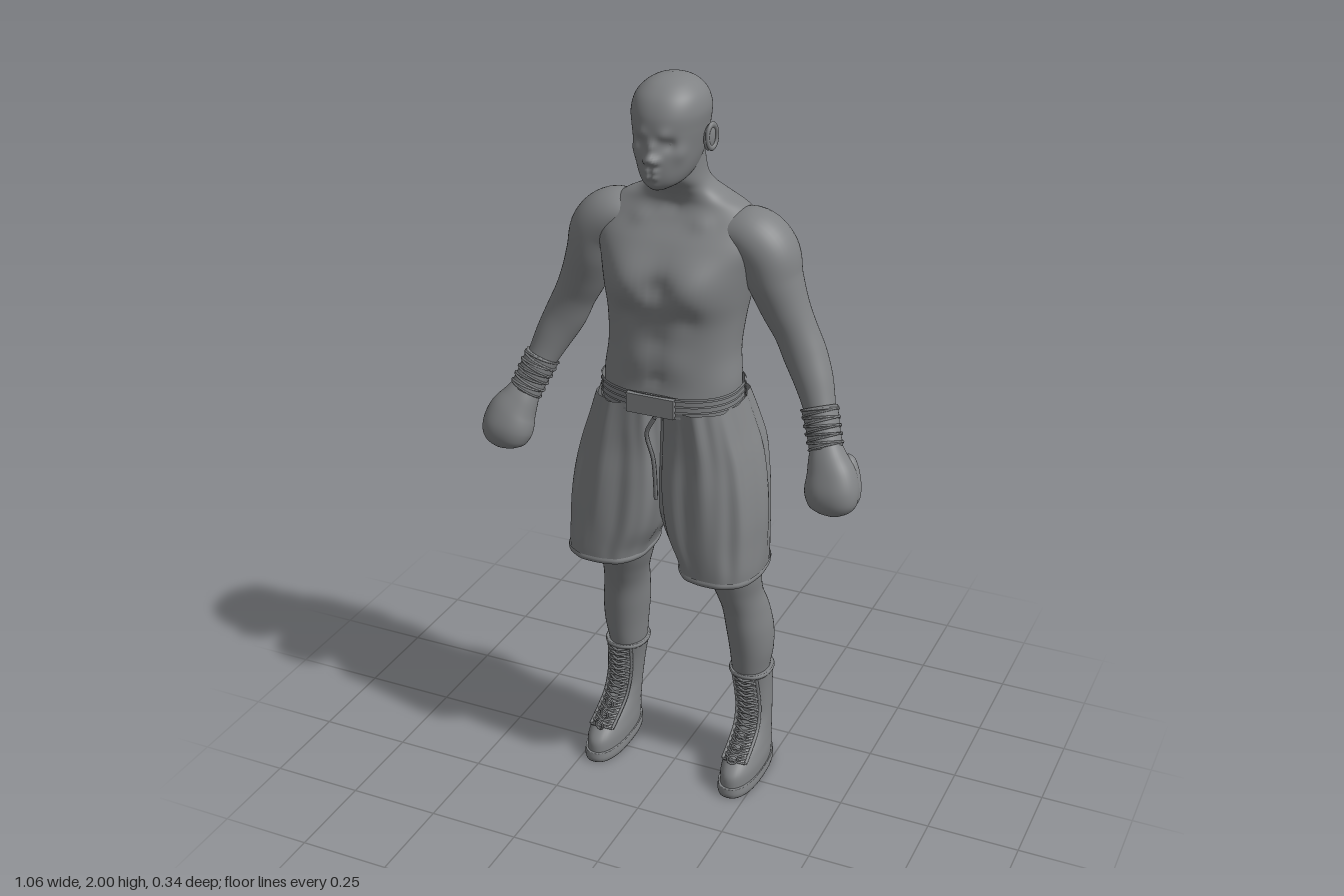
import * as THREE from 'three';

const V = (x, y, z) => new THREE.Vector3(x, y, z);

// Smooth interpolation of section rows
function sample(rows, t) {
  const n = rows.length - 1, i = Math.min(Math.floor(t * n), n - 1), u = t * n - i;
  const r = k => rows[Math.max(0, Math.min(n, k))];
  const [a, b, c, d] = [r(i - 1), r(i), r(i + 1), r(i + 2)];
  return b.map((_, k) => b[k] + 0.5 * u * (c[k] - a[k] + u * (2 * a[k] - 5 * b[k] + 4 * c[k] - d[k]
    + u * (3 * (b[k] - c[k]) + d[k] - a[k]))));
}

// Loft through sections [x, y, z, half width, front depth, back depth].
// Level sections run upwards; with "along" they follow the path direction.
function loft(rows, { steps = 6, sides = 40, power = 2, along = false, caps = true, shape } = {}) {
  const N = (rows.length - 1) * steps, pos = [], idx = [];
  for (let i = 0; i <= N; i++) {
    const t = i / N, [x, y, z, w, f, b] = sample(rows, t);
    let A = V(1, 0, 0), B = V(0, 0, 1);
    if (along) {
      const p = sample(rows, Math.max(0, t - 0.01)), q = sample(rows, Math.min(1, t + 0.01));
      const T = V(q[0] - p[0], q[1] - p[1], q[2] - p[2]).normalize();
      A = T.clone().cross(B).normalize();
      B = A.clone().cross(T);
    }
    for (let j = 0; j < sides; j++) {
      const a = j / sides * Math.PI * 2, c = Math.cos(a), s = Math.sin(a);
      const u = Math.sign(c) * Math.abs(c) ** (2 / power) * w;
      const v = Math.sign(s) * Math.abs(s) ** (2 / power) * (s > 0 ? f : b);
      const p = V(x, y, z).addScaledVector(A, u).addScaledVector(B, v);
      if (shape) shape(p, a, t, V(x, y, z));
      pos.push(p.x, p.y, p.z);
      if (i < N) {
        const k = i * sides + j, m = i * sides + (j + 1) % sides;
        idx.push(k, k + sides, m, m, k + sides, m + sides);
      }
    }
  }
  if (caps) {
    const lo = pos.length / 3;
    pos.push(...rows[0].slice(0, 3), ...rows.at(-1).slice(0, 3));
    for (let j = 0; j < sides; j++) {
      const m = (j + 1) % sides;
      idx.push(lo, j, m, lo + 1, N * sides + m, N * sides + j);
    }
  }
  const g = new THREE.BufferGeometry();
  g.setAttribute('position', new THREE.Float32BufferAttribute(pos, 3));
  g.setIndex(idx);
  g.computeVertexNormals();
  return g;
}

// Soft bumps [x, y, z, radius, dx, dy, dz], mirrored left to right
const sculpt = bumps => p => {
  const side = p.x < 0 ? -1 : 1, q = V(Math.abs(p.x), p.y, p.z);
  for (const [x, y, z, r, dx, dy, dz] of bumps) {
    const k = Math.exp(-q.distanceToSquared(V(x, y, z)) / (r * r));
    p.add(V(side * dx * k, dy * k, dz * k));
  }
};

function mirrored(g) {
  const m = g.clone().scale(-1, 1, 1), a = m.index.array;
  for (let i = 0; i < a.length; i += 3) [a[i], a[i + 1]] = [a[i + 1], a[i]];
  return m;
}

const tube = (pts, r, n = 8) => new THREE.TubeGeometry(new THREE.CatmullRomCurve3(pts), n, r, 5);
const ball = (x, y, z, a, b, c) => new THREE.SphereGeometry(1, 24, 16).scale(a, b, c).translate(x, y, z);

export function createModel() {
  const model = new THREE.Group();
  const grey = new THREE.MeshStandardMaterial({ color: 0x808284, side: THREE.DoubleSide });
  grey.name = 'grey';
  const add = (name, g) => {
    const m = new THREE.Mesh(g, grey);
    m.name = name;
    model.add(m);
  };
  const pair = (name, g) => { add(name + 'Left', g); add(name + 'Right', mirrored(g)); };

  // Torso and neck, with chest, shoulder blades and spine groove
  add('torso', loft([
    [0, 1.15, 0.01, 0.178, 0.13, 0.125], [0, 1.22, 0.01, 0.182, 0.115, 0.12],
    [0, 1.30, 0, 0.174, 0.117, 0.125], [0, 1.38, -0.01, 0.18, 0.122, 0.137],
    [0, 1.45, -0.02, 0.192, 0.138, 0.138], [0, 1.52, -0.025, 0.205, 0.128, 0.135],
    [0, 1.58, -0.035, 0.22, 0.105, 0.122], [0, 1.63, -0.05, 0.208, 0.08, 0.1],
    [0, 1.665, -0.06, 0.165, 0.072, 0.08], [0, 1.69, -0.06, 0.115, 0.075, 0.07],
    [0, 1.715, -0.05, 0.083, 0.08, 0.06], [0, 1.75, -0.03, 0.069, 0.085, 0.06],
    [0, 1.82, -0.01, 0.065, 0.07, 0.07],
  ], {
    sides: 72, power: 2.3, shape: sculpt([
      [0.085, 1.49, 0.1, 0.065, 0, 0, 0.022], [0.08, 1.405, 0.11, 0.03, 0, 0, -0.007],
      [0, 1.48, 0.12, 0.03, 0, 0, -0.012], [0, 1.34, 0.12, 0.025, 0, 0, -0.005],
      [0, 1.24, 0.125, 0.012, 0, 0, -0.008], [0.045, 1.28, 0.11, 0.045, 0, 0, 0.007],
      [0.1, 1.53, -0.15, 0.065, 0, 0, -0.012], [0, 1.55, -0.16, 0.035, 0, 0, 0.015],
      [0, 1.46, -0.16, 0.035, 0, 0, 0.013], [0, 1.36, -0.14, 0.035, 0, 0, 0.012],
      [0, 1.27, -0.125, 0.03, 0, 0, 0.008], [0.08, 1.63, 0.02, 0.025, 0, 0, 0.008],
      [0, 1.665, 0.02, 0.018, 0, 0, -0.008],
    ]),
  }));

  // Head and face
  add('head', loft([
    [0, 1.738, 0.085, 0.022, 0.032, 0.04], [0, 1.75, 0.06, 0.046, 0.068, 0.06],
    [0, 1.77, 0.04, 0.061, 0.097, 0.09], [0, 1.80, 0.03, 0.072, 0.109, 0.112],
    [0, 1.84, 0.02, 0.081, 0.117, 0.116], [0, 1.88, 0.02, 0.088, 0.116, 0.12],
    [0, 1.92, 0.02, 0.092, 0.111, 0.12], [0, 1.955, 0.02, 0.083, 0.094, 0.104],
    [0, 1.98, 0.018, 0.061, 0.068, 0.076], [0, 1.994, 0.016, 0.034, 0.038, 0.042],
    [0, 2.0, 0.014, 0.003, 0.003, 0.003],
  ], {
    sides: 96, steps: 8, power: 2.15, shape: sculpt([
      [0, 1.823, 0.142, 0.015, 0, 0, 0.024], [0, 1.85, 0.138, 0.014, 0, 0, 0.011],
      [0.015, 1.816, 0.138, 0.009, 0, 0, 0.011], [0.034, 1.856, 0.12, 0.018, 0, 0, -0.013],
      [0.03, 1.878, 0.13, 0.016, 0, 0, 0.006], [0.01, 1.792, 0.138, 0.009, 0, 0, 0.009],
      [0.008, 1.776, 0.138, 0.009, 0, 0, 0.009], [0.012, 1.784, 0.145, 0.005, 0, 0, -0.006],
      [0, 1.753, 0.125, 0.016, 0, 0, 0.007], [0.055, 1.83, 0.1, 0.022, 0.004, 0, 0.004],
    ]),
  }));
  pair('eye', ball(0.034, 1.856, 0.106, 0.014, 0.008, 0.011));
  pair('upperEyelid', tube([V(0.019, 1.855, 0.117), V(0.034, 1.864, 0.117), V(0.05, 1.855, 0.106)], 0.003));
  pair('ear', ball(0, 0, 0, 0.01, 0.033, 0.019).rotateX(-0.15).rotateY(-0.3).translate(0.094, 1.85, 0.008));
  pair('earRim', new THREE.TorusGeometry(0.018, 0.005, 8, 24).scale(1, 1.6, 1)
    .rotateY(Math.PI / 2 - 0.3).translate(0.1, 1.852, 0.006));

  // Arms
  pair('arm', loft([
    [0.13, 1.60, -0.05, 0.055, 0.07, 0.07], [0.185, 1.593, -0.052, 0.074, 0.083, 0.085],
    [0.228, 1.555, -0.052, 0.078, 0.085, 0.085], [0.25, 1.49, -0.05, 0.07, 0.078, 0.075],
    [0.278, 1.42, -0.05, 0.062, 0.063, 0.063], [0.307, 1.36, -0.052, 0.056, 0.055, 0.056],
    [0.335, 1.30, -0.05, 0.056, 0.054, 0.054], [0.365, 1.24, -0.036, 0.05, 0.05, 0.048],
    [0.395, 1.17, -0.01, 0.04, 0.04, 0.04], [0.425, 1.10, 0.02, 0.036, 0.036, 0.036],
  ], { along: true }));

  // Wrist wraps with crossing bindings
  const w0 = V(0.39, 1.182, -0.014), w1 = V(0.425, 1.09, 0.024);
  pair('wristWrap', loft([
    [...w0.toArray(), 0.047, 0.047, 0.047], [...w0.clone().lerp(w1, 0.5).toArray(), 0.043, 0.043, 0.043],
    [...w1.toArray(), 0.043, 0.043, 0.043],
  ], { along: true }));
  const axis = w1.clone().sub(w0).normalize();
  const across = axis.clone().cross(V(0, 0, 1)).normalize(), deep = across.clone().cross(axis);
  for (const turn of [1, -1]) {
    const pts = [];
    for (let i = 0; i <= 80; i++) {
      const a = turn * i / 80 * Math.PI * 10, r = 0.047 - 0.003 * i / 80;
      pts.push(w0.clone().lerp(w1, i / 80).addScaledVector(across, r * Math.cos(a)).addScaledVector(deep, r * Math.sin(a)));
    }
    pair(turn > 0 ? 'wrapBinding' : 'wrapCrossBinding', tube(pts, 0.003, 120));
  }

  // Gloves and thumbs
  pair('glove', loft([
    [0.422, 1.105, 0.02, 0.036, 0.036, 0.036], [0.435, 1.07, 0.036, 0.05, 0.046, 0.044],
    [0.452, 1.03, 0.053, 0.065, 0.055, 0.05], [0.46, 0.99, 0.068, 0.069, 0.056, 0.05],
    [0.463, 0.958, 0.079, 0.057, 0.044, 0.042], [0.464, 0.942, 0.084, 0.03, 0.024, 0.024],
    [0.464, 0.938, 0.085, 0.004, 0.004, 0.004],
  ], { along: true, power: 2.3 }));
  pair('gloveThumb', loft([
    [0.474, 1.078, 0.014, 0.008, 0.008, 0.008], [0.482, 1.062, 0.018, 0.021, 0.021, 0.021],
    [0.496, 1.02, 0.035, 0.027, 0.027, 0.027], [0.503, 0.98, 0.053, 0.025, 0.026, 0.026],
    [0.504, 0.957, 0.064, 0.008, 0.008, 0.008],
  ], { along: true, sides: 24 }));

  // Legs
  pair('leg', loft([
    [0.19, 0.25, -0.1, 0.045, 0.05, 0.055], [0.188, 0.31, -0.097, 0.051, 0.063, 0.065],
    [0.19, 0.38, -0.095, 0.06, 0.074, 0.069], [0.186, 0.45, -0.09, 0.064, 0.082, 0.07],
    [0.178, 0.52, -0.075, 0.062, 0.08, 0.07], [0.168, 0.58, -0.05, 0.063, 0.075, 0.07],
    [0.158, 0.65, -0.03, 0.075, 0.08, 0.08], [0.145, 0.75, -0.02, 0.085, 0.1, 0.085],
    [0.125, 0.95, -0.01, 0.09, 0.1, 0.095],
  ]));

  // Loose shorts with hanging folds, open at the hem
  const folds = (p, a, t, c) => {
    const k = 1 + (0.03 * Math.sin(9 * a + 1.5) + 0.016 * Math.sin(16 * a + 5 * t)) * Math.sin(Math.PI * (0.3 + 0.65 * (1 - t)));
    p.x = Math.max(-0.012, c.x + (p.x - c.x) * k);
    p.z = c.z + (p.z - c.z) * k;
  };
  pair('shortsLeg', loft([
    [0.16, 0.70, 0.035, 0.108, 0.132, 0.13], [0.155, 0.74, 0.035, 0.115, 0.132, 0.132],
    [0.139, 0.80, 0.03, 0.13, 0.135, 0.135], [0.128, 0.87, 0.025, 0.138, 0.136, 0.138],
    [0.118, 0.95, 0.015, 0.137, 0.14, 0.145], [0.109, 1.03, 0.005, 0.127, 0.143, 0.157],
    [0.1, 1.10, 0.005, 0.112, 0.142, 0.15], [0.089, 1.17, 0.01, 0.1, 0.137, 0.135],
  ], { sides: 96, power: 2.5, caps: false, shape: folds }));
  pair('shortsHem', loft([
    [0.16, 0.70, 0.035, 0.11, 0.134, 0.132], [0.16, 0.708, 0.035, 0.113, 0.137, 0.135],
    [0.16, 0.716, 0.035, 0.111, 0.135, 0.133],
  ], { sides: 96, power: 2.5, caps: false, steps: 3, shape: (p, a, t, c) => folds(p, a, 0, c) }));
  add('frontSeam', tube([V(0.012, 1.15, 0.153), V(-0.012, 1.10, 0.148), V(0, 1.02, 0.135), V(0, 0.9, 0.12)], 0.006, 20));

  // Waistband with raised ribs and a front plate
  const band = (y0, y1, out) => loft([y0, (y0 + y1) / 2, y1].map(y =>
    [0, y, 0.01, 0.184 + out, 0.138 + out, 0.138 + out]), { sides: 72, power: 2.4, caps: false });
  add('waistband', band(1.155, 1.21, 0));
  [1.157, 1.172, 1.188, 1.204].forEach((y, i) => add('waistbandRib' + (i + 1), band(y - 0.003, y + 0.003, 0.004)));
  add('waistbandPlate', new THREE.BoxGeometry(0.13, 0.052, 0.02).translate(0, 1.182, 0.148));

  // Boots: sole, upper, cuff
  pair('bootSole', loft([
    [0.205, 0, -0.03, 0.054, 0.138, 0.138], [0.205, 0.012, -0.03, 0.056, 0.141, 0.14],
    [0.205, 0.03, -0.03, 0.054, 0.138, 0.138],
  ], { power: 2.4, steps: 4 }));
  pair('boot', loft([
    [0.205, 0.025, -0.03, 0.052, 0.134, 0.134], [0.205, 0.06, -0.04, 0.053, 0.138, 0.124],
    [0.204, 0.09, -0.06, 0.05, 0.125, 0.1], [0.203, 0.115, -0.08, 0.048, 0.097, 0.08],
    [0.202, 0.14, -0.09, 0.047, 0.07, 0.069], [0.2, 0.18, -0.1, 0.047, 0.057, 0.06],
    [0.195, 0.25, -0.1, 0.051, 0.057, 0.062], [0.19, 0.312, -0.098, 0.058, 0.066, 0.067],
  ], { power: 2.2 }));
  pair('bootCuff', loft([
    [0.19, 0.303, -0.098, 0.058, 0.067, 0.068], [0.19, 0.31, -0.098, 0.061, 0.07, 0.071],
    [0.19, 0.317, -0.098, 0.058, 0.067, 0.068],
  ], { steps: 3, power: 2.2 }));

  // Crossed laces up the front, with loose loops over the instep
  const tongue = new THREE.CatmullRomCurve3([V(0.204, 0.09, 0.07), V(0.203, 0.115, 0.022), V(0.202, 0.14, -0.016),
    V(0.2, 0.18, -0.039), V(0.195, 0.25, -0.04), V(0.191, 0.305, -0.03)]);
  const rows = 15;
  for (let i = 0; i < rows; i++) {
    const a = tongue.getPointAt(i / rows), b = tongue.getPointAt((i + 1) / rows), mid = a.clone().lerp(b, 0.5);
    for (const s of [1, -1]) {
      pair('lace', tube([a.clone().add(V(-0.033 * s, 0, -0.013)), mid.clone().add(V(0, 0.003, 0.003)),
        b.clone().add(V(0.033 * s, 0, -0.013))], 0.0035));
    }
    if (i < 5 && i % 2 === 0) {
      pair('laceLoop', new THREE.TorusGeometry(0.014, 0.003, 6, 16).rotateY(0.4).translate(a.x, a.y + 0.014, a.z));
    }
  }
  for (const s of [1, -1]) {
    pair('laceEdge', tube([0, 0.2, 0.4, 0.6, 0.8, 1].map(t => tongue.getPointAt(t).add(V(0.034 * s, 0, -0.014))), 0.005, 24));
  }
  return model;
}
